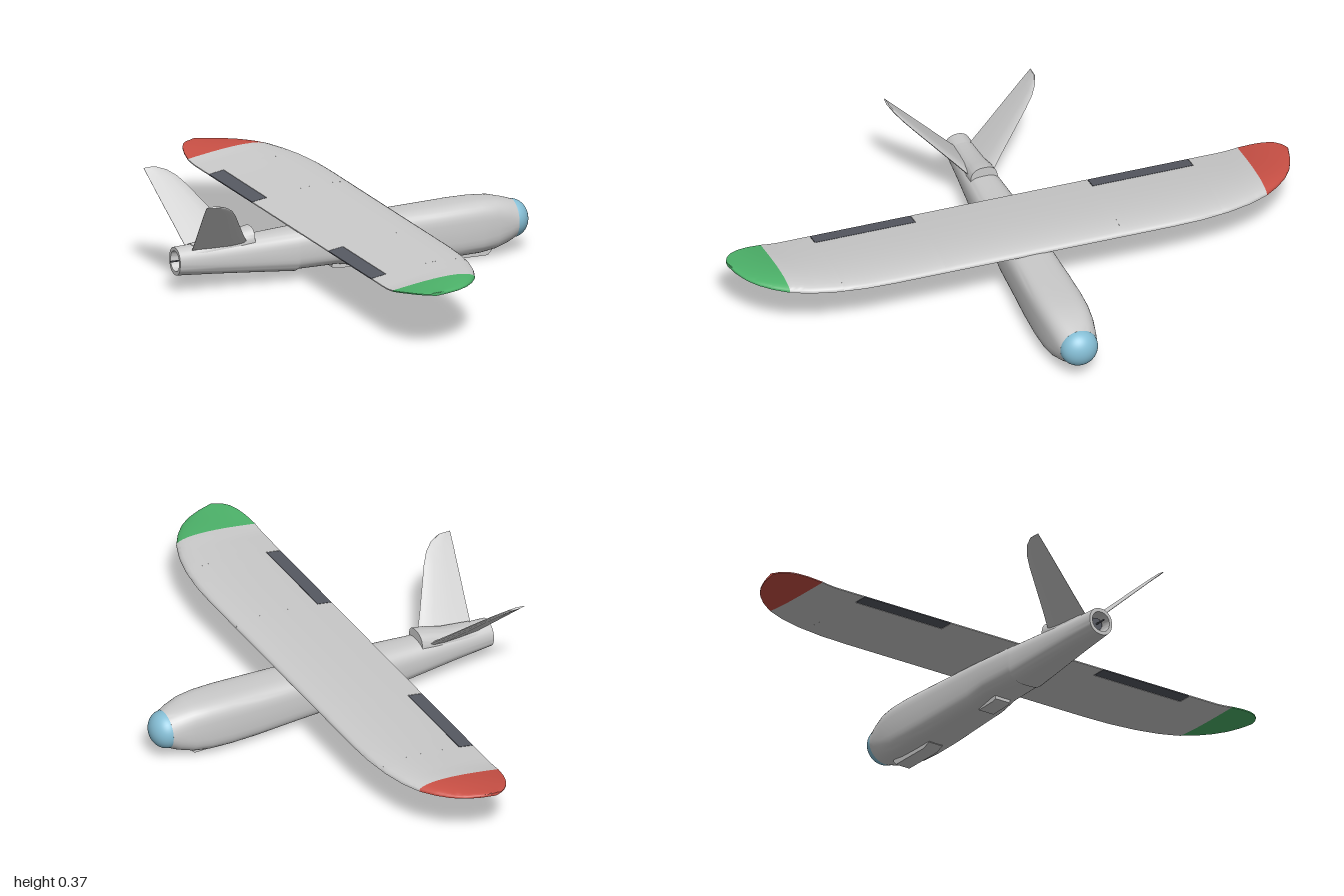
import * as THREE from 'three';
import { toCreasedNormals } from 'three/addons/utils/BufferGeometryUtils.js';

const GREY = 0xcccccc, DARK = 0x575a63;
const { lerp, smoothstep, clamp } = THREE.MathUtils;

function mesh(name, geometry, color = GREY) {
  const m = new THREE.Mesh(geometry, new THREE.MeshStandardMaterial({ color }));
  m.name = name;
  return m;
}

// Skin closed rings of [x, y, z] points and cap both ends
function loft(rings, crease = 0.7) {
  const n = rings[0].length, pos = rings.flat(2), idx = [];
  for (let r = 0; r < rings.length - 1; r++) {
    for (let i = 0; i < n; i++) {
      const a = r * n + i, b = r * n + (i + 1) % n;
      idx.push(a, b, a + n, b, b + n, a + n);
    }
  }
  [0, rings.length - 1].forEach((r) => {
    const c = [0, 1, 2].map((k) => rings[r].reduce((s, p) => s + p[k], 0) / n);
    const ci = pos.length / 3;
    pos.push(...c);
    for (let i = 0; i < n; i++) {
      const a = r * n + i, b = r * n + (i + 1) % n;
      if (r === 0) idx.push(ci, b, a); else idx.push(ci, a, b);
    }
  });
  // Signed volume tells whether the faces point outwards
  const v = (i) => new THREE.Vector3().fromArray(pos, i * 3);
  let vol = 0;
  for (let i = 0; i < idx.length; i += 3) vol += v(idx[i]).dot(v(idx[i + 1]).cross(v(idx[i + 2])));
  if (vol < 0) idx.reverse();
  const g = new THREE.BufferGeometry();
  g.setAttribute('position', new THREE.Float32BufferAttribute(pos, 3));
  g.setIndex(idx);
  return toCreasedNormals(g, crease);
}

// Rounded-square cross-section of the body at station x
function bodyRing([x, bottom, top, half, power]) {
  const ring = [], n = 40, e = 2 / power;
  for (let i = 0; i < n; i++) {
    const a = (i / n) * Math.PI * 2, c = Math.cos(a), s = Math.sin(a);
    ring.push([
      x,
      (top + bottom) / 2 + (top - bottom) / 2 * Math.sign(s) * Math.abs(s) ** e,
      half * Math.sign(c) * Math.abs(c) ** e,
    ]);
  }
  return ring;
}

// Wing outline: leading and trailing edge at span position z
function edgeAt(points, z) {
  const a = Math.abs(z);
  const i = clamp(points.findIndex((p) => p[0] >= a), 1, points.length - 1);
  const [p, q] = [points[i - 1], points[i]];
  return lerp(p[1], q[1], (a - p[0]) / (q[0] - p[0]));
}
const LEADING = [[0, 0.152], [0.5, 0.152], [0.6, 0.148], [0.7, 0.135], [0.78, 0.115], [0.85, 0.088],
  [0.9, 0.055], [0.94, 0.018], [0.97, -0.025], [0.99, -0.075], [1, -0.12]];
const TRAILING = [[0, -0.215], [0.85, -0.215], [0.9, -0.207], [0.94, -0.195], [0.97, -0.18], [0.99, -0.16], [1, -0.14]];

// Airfoil at z, limited to the chord range between x0 and x1
function wingRing(z, x0, x1) {
  const le = edgeAt(LEADING, z), te = edgeAt(TRAILING, z), n = 16;
  const rise = smoothstep(Math.abs(z), 0.78, 1);
  const thick = lerp(0.034, 0.008, rise ** 1.5);
  const front = Math.min(le, x1), back = Math.max(te, x0);
  const upper = [], lower = [];
  for (let i = 0; i <= n; i++) {
    const x = lerp(front, back, (1 - Math.cos((i / n) * Math.PI)) / 2);
    const t = clamp((le - x) / (le - te), 0, 1);
    const base = lerp(0.192, 0.177, t) + rise * lerp(0.006, 0.024, t);
    const bulge = 1.95 * Math.sqrt(t) * (1 - t) * (1 - 0.25 * t);
    upper.push([x, base + thick * bulge * 0.98 + 0.002, z]);
    lower.push([x, base - thick * bulge * 0.28 - 0.002, z]);
  }
  return [...upper, ...lower.reverse()];
}

function wingPiece(name, z0, z1, color = GREY, x0 = -1, x1 = 1) {
  const rings = [], steps = 14;
  for (let i = 0; i <= steps; i++) rings.push(wingRing(lerp(z0, z1, i / steps), x0, x1));
  return mesh(name, loft(rings), color);
}

// Extruded side profile centred on z = 0
function sidePlate(name, points, width) {
  const g = new THREE.ExtrudeGeometry(new THREE.Shape(points.map((p) => new THREE.Vector2(...p))),
    { depth: width, bevelEnabled: false });
  return mesh(name, g.translate(0, 0, -width / 2));
}

export function createModel() {
  const model = new THREE.Group();
  model.name = 'aircraft';

  // Body with a recessed tail opening: x, bottom, top, half width, squareness
  const stations = [
    [-0.59, 0.075, 0.141, 0.033, 2.2], [-0.64, 0.073, 0.143, 0.035, 2.2],
    [-0.64, 0.06, 0.156, 0.046, 2.2], [-0.5, 0.051, 0.161, 0.054, 2.4],
    [-0.36, 0.041, 0.167, 0.064, 2.7], [-0.215, 0.03, 0.175, 0.073, 3],
    [-0.205, 0.036, 0.176, 0.074, 3], [-0.06, 0.038, 0.183, 0.079, 3.2],
    [0.02, 0.023, 0.188, 0.082, 3.3], [0.15, 0.019, 0.192, 0.085, 3.4],
    [0.28, 0.014, 0.196, 0.089, 3.5], [0.38, 0.013, 0.2, 0.09, 3.5],
    [0.46, 0.015, 0.201, 0.088, 3.4], [0.52, 0.022, 0.198, 0.082, 3.1],
    [0.57, 0.035, 0.187, 0.073, 2.5], [0.6, 0.046, 0.178, 0.066, 2],
  ];
  model.add(mesh('fuselage', loft(stations.map(bodyRing), 0.8)));

  // Fairing between the tail fins
  model.add(mesh('tailFairing', loft([
    [-0.58, 0.08, 0.16, 0.045, 2.3], [-0.47, 0.09, 0.174, 0.047, 2.4],
    [-0.41, 0.1, 0.193, 0.048, 2.5], [-0.365, 0.1, 0.201, 0.048, 2.6],
  ].map(bodyRing))));

  // Rounded glass nose
  const dome = new THREE.SphereGeometry(0.066, 40, 20, 0, Math.PI * 2, 0, Math.PI / 2);
  dome.rotateZ(-Math.PI / 2).scale(0.85, 1, 1).translate(0.598, 0.112, 0);
  model.add(mesh('noseDome', dome, 0x86bfd6));

  // Motor and shaft in the tail opening
  const motor = mesh('motor', new THREE.CylinderGeometry(0.022, 0.022, 0.03, 24).rotateZ(Math.PI / 2), DARK);
  motor.position.set(-0.6, 0.108, 0);
  const shaft = mesh('motorShaft', new THREE.CylinderGeometry(0.003, 0.003, 0.06, 10).rotateZ(Math.PI / 2), DARK);
  shaft.position.set(-0.627, 0.108, 0);
  model.add(motor, shaft);

  // Wing: centre, then notched panels, ailerons and coloured tips on each side
  model.add(wingPiece('wingCentre', -0.315, 0.315));
  for (const [side, s, color] of [['left', 1, 0x4db36a], ['right', -1, 0xc95045]]) {
    model.add(
      wingPiece(side + 'WingPanel', s * 0.315, s * 0.675, GREY, -0.161),
      wingPiece(side + 'Aileron', s * 0.317, s * 0.673, DARK, -1, -0.163),
      wingPiece(side + 'OuterWing', s * 0.675, s * 0.85),
      wingPiece(side + 'WingTip', s * 0.85, s, color),
    );
  }

  // V-tail: fin sections run outwards as t, trailing x, leading x
  const finStations = [[0, -0.59, -0.385], [0.25, -0.602, -0.428], [0.5, -0.615, -0.468], [0.72, -0.626, -0.503],
    [0.86, -0.633, -0.53], [0.95, -0.637, -0.56], [1, -0.639, -0.595]];
  for (const [side, s] of [['left', 1], ['right', -1]]) {
    const rings = finStations.map(([t, te, le]) => {
      const y = lerp(0.148, 0.364, t), z = lerp(0.03, 0.261, t), h = lerp(0.008, 0.004, t) * 0.7;
      const at = (f, k) => [lerp(le, te, f), y + k * h, s * (z - k * h)];
      return [at(0, 0), at(0.07, 0.7), at(0.3, 1), at(0.65, 0.7), at(1, 0.1),
        at(1, -0.1), at(0.65, -0.7), at(0.3, -1), at(0.07, -0.7)];
    });
    model.add(mesh(side + 'TailFin', loft(rings)));
  }

  // Belly skid and hatch block
  model.add(sidePlate('bellySkid', [[0.3, 0.03], [0.31, 0.012], [0.34, 0], [0.5, 0], [0.515, 0.018], [0.51, 0.04]], 0.056));
  model.add(sidePlate('bellyBlock', [[-0.075, 0.045], [-0.075, 0.027], [-0.06, 0.022], [0.02, 0.02], [0.025, 0.045]], 0.06));

  return model;
}
